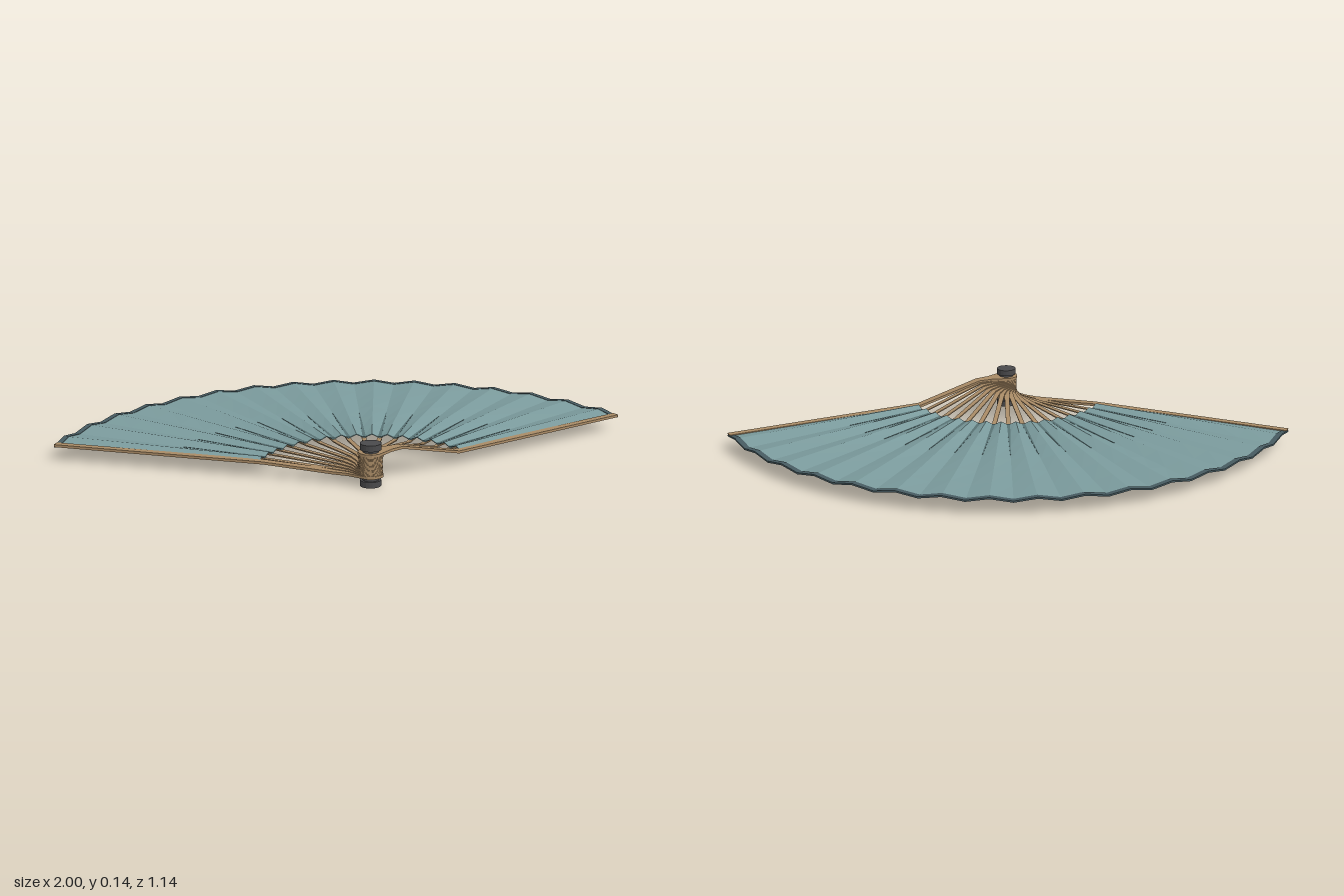
import * as THREE from 'three';

const PIVOT_Z = 0.53;
const HALF_ANGLE = THREE.MathUtils.degToRad(65.2);
const PLEATS = 16;
const R_IN = 0.375, R_OUT = 1.1;
const VALLEY = 0.048, PEAK = 0.06;

const paint = (color) => new THREE.MeshStandardMaterial({ color, flatShading: true });

// Flat bar running along -z; profile rows are [radius, half width, height]
function bar(profile, thickness) {
  const n = profile.length - 1;
  const geo = new THREE.BoxGeometry(2, thickness, 1, 1, 1, n);
  const p = geo.attributes.position;
  for (let i = 0; i < p.count; i++) {
    const [r, w, y] = profile[Math.round((0.5 - p.getZ(i)) * n)];
    p.setXYZ(i, p.getX(i) * w, p.getY(i) + y, -r);
  }
  geo.computeVertexNormals();
  return geo;
}

// Pleated ring sector; folds are valleys at the sticks and peaks between them
function pleated(r0, r1, thickness, rings) {
  const geo = new THREE.BoxGeometry(1, thickness, 1, PLEATS * 2, 1, rings);
  const p = geo.attributes.position;
  for (let i = 0; i < p.count; i++) {
    const u = p.getX(i) + 0.5;
    const a = (u * 2 - 1) * HALF_ANGLE;
    const r = r0 + (r1 - r0) * (0.5 - p.getZ(i));
    const fold = Math.round(u * PLEATS * 2) % 2 ? PEAK : VALLEY;
    p.setXYZ(i, r * Math.sin(a), p.getY(i) + fold, -r * Math.cos(a));
  }
  geo.computeVertexNormals();
  return geo;
}

// Rounded stick end around the rivet
function head(y, radius) {
  return [180, 150, 120, 90, 60].map((d) => {
    const t = THREE.MathUtils.degToRad(d);
    return [radius * Math.cos(t), Math.max(radius * Math.sin(t), 0.004), y];
  });
}

export function createModel() {
  const group = new THREE.Group();
  const fan = new THREE.Group();
  fan.name = 'foldingFan';
  fan.position.z = PIVOT_Z;
  group.add(fan);

  const wood = paint(0xa98b66);
  const cloth = paint(0x7b9b9d);
  const trim = paint(0x465a60);
  const crease = paint(0x587274);
  const metal = paint(0x4a4a4c);

  const add = (name, geo, mat, angle = 0) => {
    const mesh = new THREE.Mesh(geo, mat);
    mesh.name = name;
    mesh.rotation.y = -angle;
    fan.add(mesh);
    return mesh;
  };

  // Leaf and its darker outer edge
  add('leaf', pleated(R_IN, R_OUT - 0.018, 0.003, 6), cloth);
  add('leafTrim', pleated(R_OUT - 0.02, R_OUT, 0.006, 1), trim);

  // Sticks stacked at the rivet, bending down or up to the leaf
  for (let i = 0; i <= PLEATS; i++) {
    const angle = (i / PLEATS * 2 - 1) * HALF_ANGLE;
    const y = 0.036 + i / PLEATS * 0.074;
    if (i === 0 || i === PLEATS) {
      const guard = [...head(y, 0.042), [0.07, 0.02, y], [0.12, 0.016, y],
        [R_IN - 0.015, 0.014, 0.05], [R_OUT - 0.002, 0.013, 0.052]];
      add(i ? 'leftGuard' : 'rightGuard', bar(guard, 0.009), wood, angle * 0.994);
      continue;
    }
    const stick = [...head(y, 0.04), [0.07, 0.013, y], [0.12, 0.009, y],
      [R_IN - 0.015, 0.008, 0.0445], [R_OUT - 0.02, 0.004, 0.0445]];
    add('stick', bar(stick, 0.004), wood, angle);
    // Tapering crease at the bottom of each valley
    add('crease', bar([[R_IN, 0.006, VALLEY + 0.002], [0.68, 0.0012, VALLEY + 0.001]], 0.004),
      crease, angle);
  }

  // Rivet with a cap at each end
  const r = 0.035;
  const profile = [[0, 0], [r, 0], [r, 0.02], [0.027, 0.02], [0.027, 0.122],
    [r, 0.122], [r, 0.143], [0, 0.143]].map(([x, y]) => new THREE.Vector2(x, y));
  add('rivet', new THREE.LatheGeometry(profile, 20), metal);

  return group;
}
